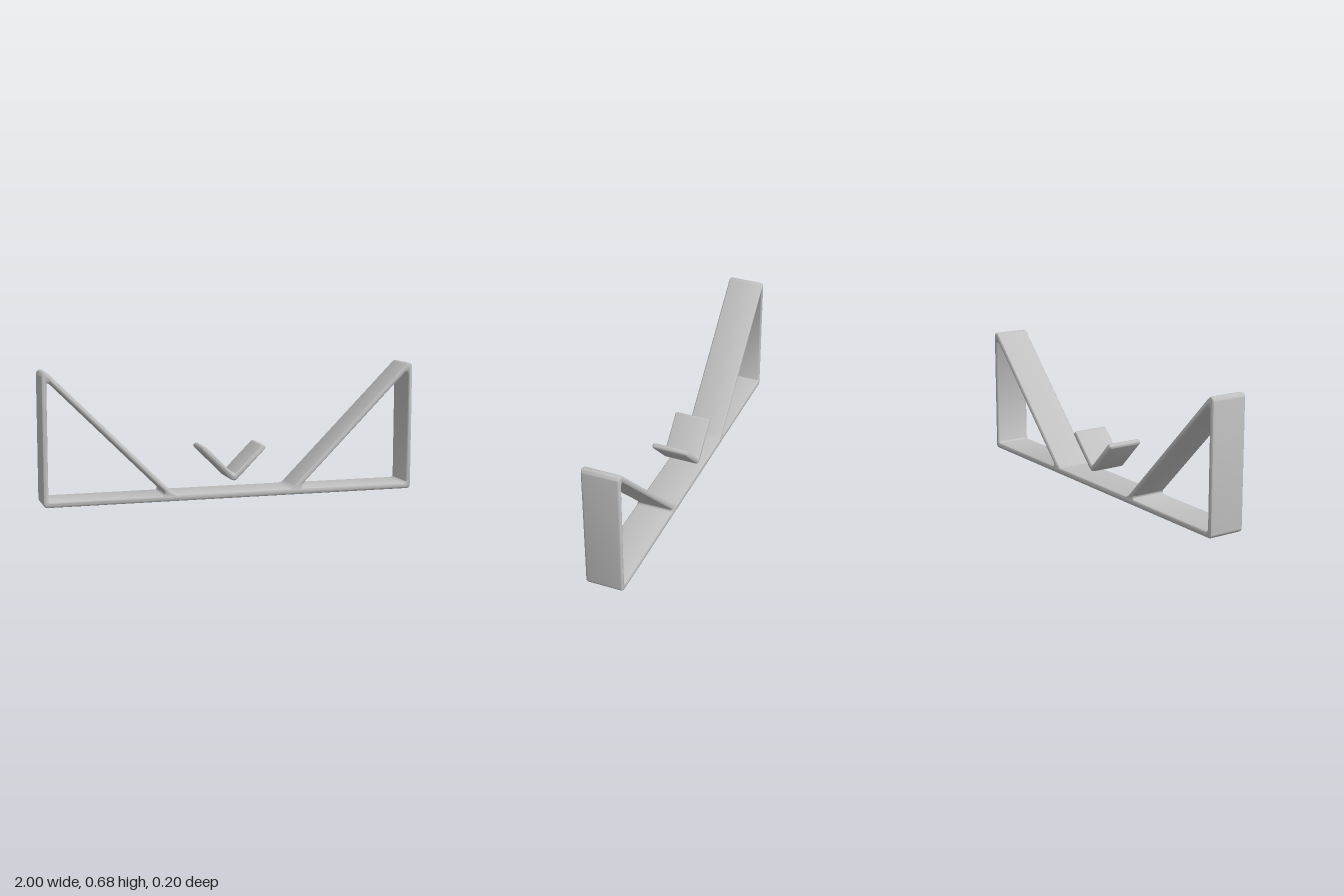
import * as THREE from 'three';
import { toCreasedNormals } from 'three/addons/utils/BufferGeometryUtils.js';

const DEPTH = 0.196, BEVEL = 0.009, BEVEL_Z = 0.013;

// Points of a polygon with circular corners; each corner is [x, y, radius]
function roundedPoints(corners, steps = 6) {
  const pts = [], n = corners.length;
  corners.forEach(([x, y, r], i) => {
    const p = new THREE.Vector2(x, y);
    const a = new THREE.Vector2(...corners[(i + n - 1) % n].slice(0, 2)).sub(p).normalize();
    const b = new THREE.Vector2(...corners[(i + 1) % n].slice(0, 2)).sub(p).normalize();
    const half = Math.acos(THREE.MathUtils.clamp(a.dot(b), -1, 1)) / 2;
    const centre = a.clone().add(b).normalize().multiplyScalar(r / Math.sin(half)).add(p);
    const start = a.multiplyScalar(r / Math.tan(half)).add(p).sub(centre);
    const end = b.multiplyScalar(r / Math.tan(half)).add(p).sub(centre);
    const sweep = Math.atan2(start.cross(end), start.dot(end));
    for (let k = 0; k <= steps; k++) {
      pts.push(start.clone().rotateAround(new THREE.Vector2(), sweep * k / steps).add(centre));
    }
  });
  return pts;
}

// Mirror the right-hand corners, in reverse order, onto the left
const mirrored = (corners) => corners.map(([x, y, r]) => [-x, y, r]).reverse();

// Softly bevelled slab centred on z = 0
function slab(name, outline, holes, material) {
  const shape = new THREE.Shape(roundedPoints(outline));
  holes.forEach((h) => shape.holes.push(new THREE.Path(roundedPoints(h))));
  const geo = new THREE.ExtrudeGeometry(shape, {
    depth: DEPTH - 2 * BEVEL_Z, bevelEnabled: true, bevelThickness: BEVEL_Z,
    bevelSize: BEVEL, bevelOffset: -BEVEL, bevelSegments: 4,
  });
  geo.translate(0, 0, -DEPTH / 2 + BEVEL_Z);
  const mesh = new THREE.Mesh(toCreasedNormals(geo, 0.8), material);
  mesh.name = name;
  return mesh;
}

export function createModel() {
  const group = new THREE.Group();
  group.name = 'cradleStand';
  const grey = new THREE.MeshStandardMaterial({ color: 0xc0c0c0 });
  grey.name = 'light grey';

  // Base bar with an upright and a sloping brace at each end
  const rightSide = [[1, 0, 0.02], [1, 0.716, 0.022], [0.319, 0.035, 0.05]];
  const opening = [[0.974, 0.033, 0.015], [0.974, 0.649, 0.012], [0.358, 0.033, 0.011]];
  group.add(slab('frame', [...rightSide, ...mirrored(rightSide)],
    [opening, mirrored(opening)], grey));

  // Floating V-shaped cradle between the braces
  const arm = [[0.1775, 0.2595, 0.013], [0.1565, 0.2805, 0.013]];
  group.add(slab('cradle',
    [[0, 0.082, 0.025], ...arm, [0, 0.124, 0.01], ...mirrored(arm)], [], grey));

  return group;
}
